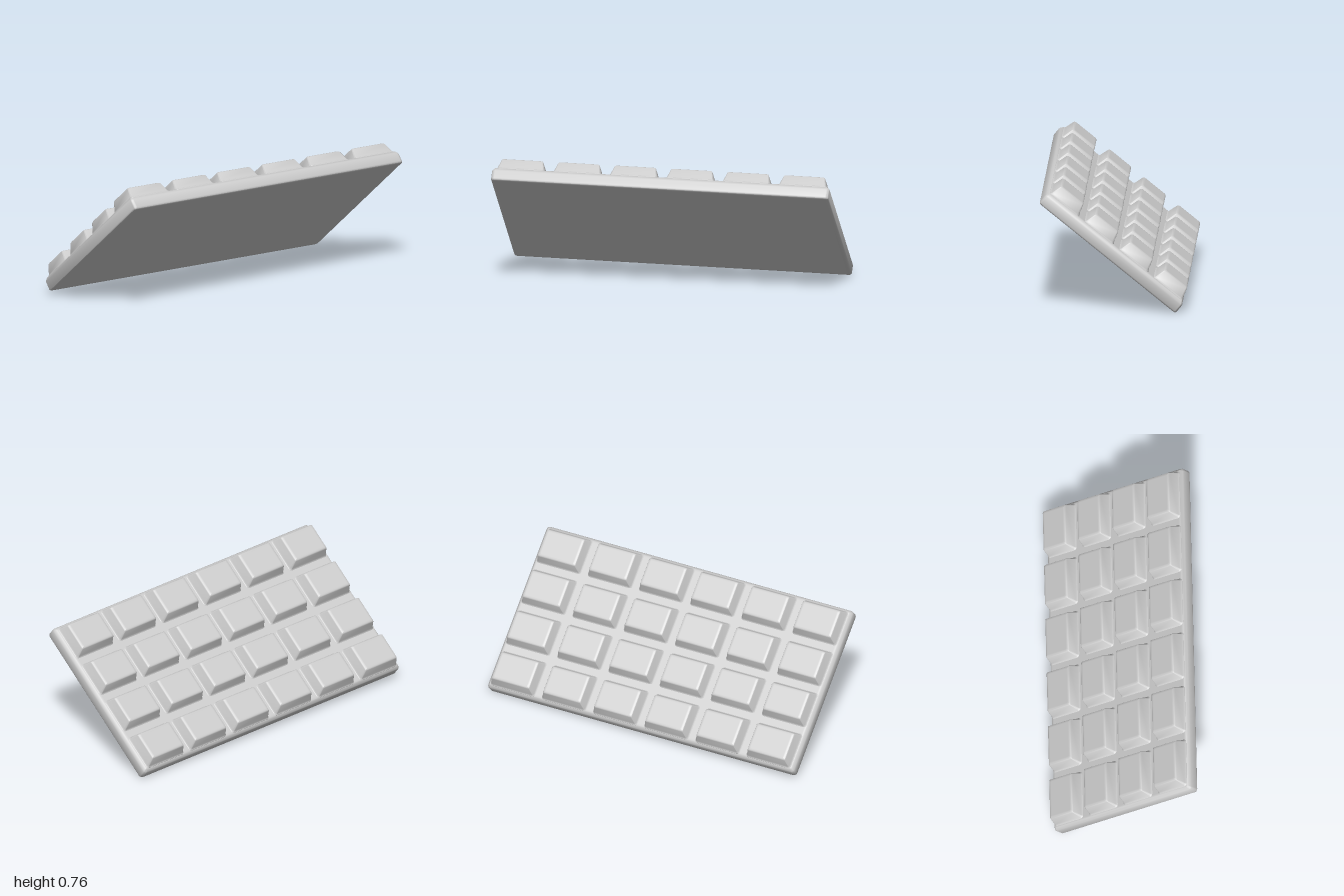
import * as THREE from 'three';
import { toCreasedNormals } from 'three/addons/utils/BufferGeometryUtils.js';

// Rounded rectangle outline, counter-clockwise seen from above
function outline(hx, hz, r, steps = 4) {
  const pts = [];
  const corners = [[1, 1], [-1, 1], [-1, -1], [1, -1]];
  corners.forEach(([sx, sz], c) => {
    for (let i = 0; i <= steps; i++) {
      const a = (c + i / steps) * Math.PI / 2;
      pts.push([sx * (hx - r) + r * Math.cos(a), sz * (hz - r) + r * Math.sin(a)]);
    }
  });
  return pts;
}

// Closed solid from stacked rounded rectangles; each ring is [height, inset]
function stackRings(hx, hz, radius, rings) {
  const pos = [], index = [];
  let n = 0;
  for (const [y, inset] of rings) {
    const ring = outline(hx - inset, hz - inset, Math.max(radius - inset, 0.008));
    n = ring.length;
    ring.forEach(([x, z]) => pos.push(x, y, z));
  }
  for (let k = 0; k < rings.length - 1; k++) {
    for (let i = 0; i < n; i++) {
      const a = k * n + i, b = k * n + (i + 1) % n;
      index.push(a, a + n, b, b, a + n, b + n);
    }
  }
  // Flat caps
  const last = rings.length - 1;
  const bottom = pos.length / 3, top = bottom + 1;
  pos.push(0, rings[0][0], 0, 0, rings[last][0], 0);
  for (let i = 0; i < n; i++) {
    const j = (i + 1) % n;
    index.push(bottom, i, j, top, last * n + j, last * n + i);
  }
  const geo = new THREE.BufferGeometry();
  geo.setAttribute('position', new THREE.Float32BufferAttribute(pos, 3));
  geo.setIndex(index);
  return toCreasedNormals(geo, 0.75);
}

export function createModel() {
  const material = new THREE.MeshStandardMaterial({ color: 0xcccccc });
  const bar = new THREE.Group();
  bar.name = 'chocolateBar';

  // Base slab with softened edges and a bevelled upper rim
  const slab = new THREE.Mesh(stackRings(0.995, 0.51, 0.02, [
    [0, 0.03], [0, 0.012], [0.003, 0.004], [0.011, 0],
    [0.058, 0], [0.066, 0.003], [0.08, 0.014], [0.084, 0.02], [0.084, 0.03],
  ]), material);
  slab.name = 'baseSlab';
  bar.add(slab);

  // Raised pieces, 6 by 4, with a flared foot and rounded top edge
  const pieceGeo = stackRings(0.145, 0.108, 0.018, [
    [0.07, 0], [0.084, 0], [0.087, 0.004], [0.094, 0.008],
    [0.146, 0.022], [0.152, 0.025], [0.156, 0.031], [0.156, 0.04],
  ]);
  const pieces = new THREE.Group();
  pieces.name = 'pieces';
  for (let col = 0; col < 6; col++) {
    for (let row = 0; row < 4; row++) {
      const piece = new THREE.Mesh(pieceGeo, material);
      piece.name = 'piece';
      piece.position.set((col - 2.5) * 0.332, 0, (row - 1.5) * 0.258);
      pieces.add(piece);
    }
  }
  bar.add(pieces);

  // Tilt the bar, then centre it and rest it on the ground
  bar.rotation.set(-0.684, -0.005, -0.0135, 'ZYX');
  const model = new THREE.Group();
  model.name = 'model';
  model.add(bar);
  model.updateMatrixWorld(true);
  const box = new THREE.Box3().setFromObject(model, true);
  const centre = box.getCenter(new THREE.Vector3());
  bar.position.set(-centre.x, -box.min.y, -centre.z);
  return model;
}
